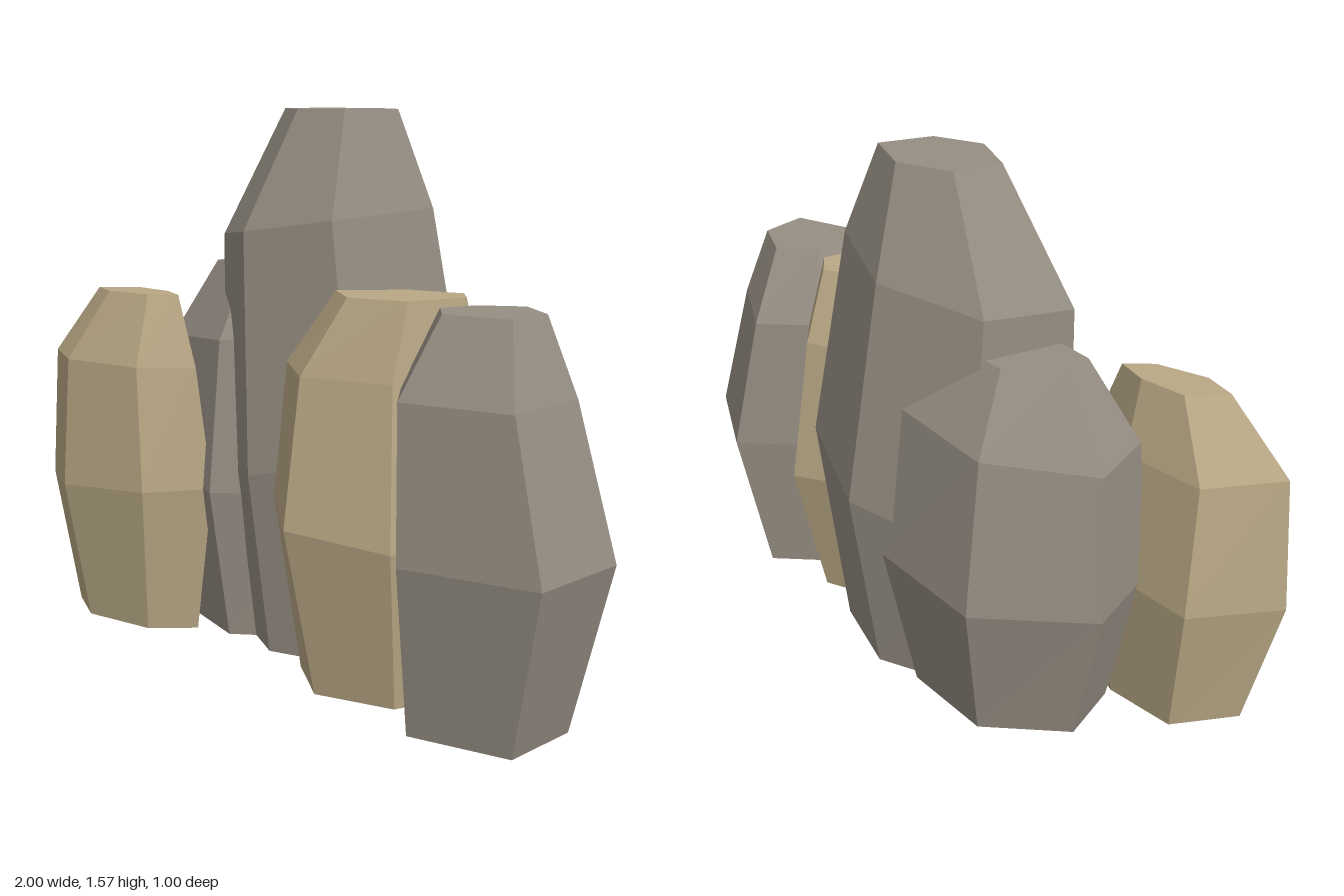
import * as THREE from 'three';

const grayStone = new THREE.MeshStandardMaterial({ color: 0x968e83 });
grayStone.name = 'grayStone';
const tanStone = new THREE.MeshStandardMaterial({ color: 0xb9a885 });
tanStone.name = 'tanStone';

// Faceted standing stone: a six-sided belly outline of [x, z] points, fitted
// into the box of every level: [y, tilt, xMin, xMax, zMin, zMax], bottom to top.
function createStone(name, material, outline, levels) {
  const xs = outline.map((p) => p[0]);
  const zs = outline.map((p) => p[1]);
  const x0 = Math.min(...xs), x1 = Math.max(...xs);
  const z0 = Math.min(...zs), z1 = Math.max(...zs);
  const n = outline.length;
  const positions = [];
  const index = [];

  for (const [y, tilt, xMin, xMax, zMin, zMax] of levels) {
    for (const [x, z] of outline) {
      const u = (x - x0) / (x1 - x0);
      const v = (z - z0) / (z1 - z0);
      positions.push(xMin + u * (xMax - xMin), y + tilt * (u - 0.5), zMin + v * (zMax - zMin));
    }
  }

  // Side facets
  for (let l = 0; l < levels.length - 1; l++) {
    for (let i = 0; i < n; i++) {
      const a = l * n + i;
      const b = l * n + (i + 1) % n;
      index.push(a, b, b + n, a, b + n, a + n);
    }
  }
  // Flat bottom and top
  const top = (levels.length - 1) * n;
  for (let i = 1; i < n - 1; i++) {
    index.push(0, i + 1, i);
    index.push(top, top + i, top + i + 1);
  }

  const indexed = new THREE.BufferGeometry();
  indexed.setAttribute('position', new THREE.Float32BufferAttribute(positions, 3));
  indexed.setIndex(index);
  const geometry = indexed.toNonIndexed(); // separate facets for hard edges
  geometry.computeVertexNormals();
  const mesh = new THREE.Mesh(geometry, material);
  mesh.name = name;
  return mesh;
}

export function createModel() {
  const group = new THREE.Group();
  group.name = 'rockCluster';

  // Tall stone in the middle
  group.add(createStone('tallCentreStone', grayStone,
    [[-0.38, -0.08], [-0.13, 0.16], [0.2, 0.13], [0.43, -0.13], [0.17, -0.36], [-0.2, -0.34]],
    [
      [0, 0, -0.3, 0.35, -0.27, 0.1],
      [0.57, 0.17, -0.38, 0.43, -0.36, 0.16],
      [1.25, 0.1, -0.37, 0.31, -0.31, 0.13],
      [1.57, 0, -0.16, 0.2, -0.21, 0.02],
    ]));

  // Broad stone behind it
  group.add(createStone('backStone', grayStone,
    [[-0.62, -0.08], [-0.31, 0.1], [0, -0.05], [0.07, -0.35], [-0.28, -0.5], [-0.61, -0.35]],
    [
      [0, 0, -0.52, 0, -0.4, 0.04],
      [0.45, 0, -0.62, 0.07, -0.5, 0.1],
      [0.9, 0.05, -0.59, 0.03, -0.44, 0.04],
      [1.11, 0, -0.45, -0.1, -0.31, -0.08],
    ]));

  // Tan stone on the -x side
  group.add(createStone('rightTanStone', tanStone,
    [[-1, 0], [-0.82, 0.16], [-0.5, 0.18], [-0.33, 0.06], [-0.5, -0.1], [-0.78, -0.19]],
    [
      [0, 0, -0.9, -0.4, -0.13, 0.13],
      [0.43, 0.04, -1, -0.33, -0.19, 0.18],
      [0.81, 0, -0.97, -0.39, -0.15, 0.15],
      [1.02, 0, -0.79, -0.47, -0.06, 0.07],
    ]));

  // Tan stone on the +x side
  group.add(createStone('leftTanStone', tanStone,
    [[-0.04, 0.16], [0.15, 0.4], [0.46, 0.37], [0.62, 0.05], [0.54, -0.1], [0.25, -0.08]],
    [
      [0, 0, 0.05, 0.56, -0.01, 0.32],
      [0.46, -0.06, -0.04, 0.62, -0.1, 0.4],
      [0.88, 0, 0, 0.57, -0.05, 0.34],
      [1.09, 0, 0.16, 0.53, 0.03, 0.27],
    ]));

  // Gray stone at the +x end
  group.add(createStone('leftEndStone', grayStone,
    [[0.43, 0.27], [0.55, 0.5], [0.94, 0.49], [1, 0.18], [0.79, -0.05], [0.55, 0.06]],
    [
      [0, 0, 0.46, 0.89, 0.02, 0.44],
      [0.46, 0, 0.43, 1, -0.05, 0.5],
      [0.87, 0, 0.43, 0.89, 0, 0.46],
      [1.08, 0, 0.53, 0.81, 0.11, 0.35],
    ]));

  return group;
}
